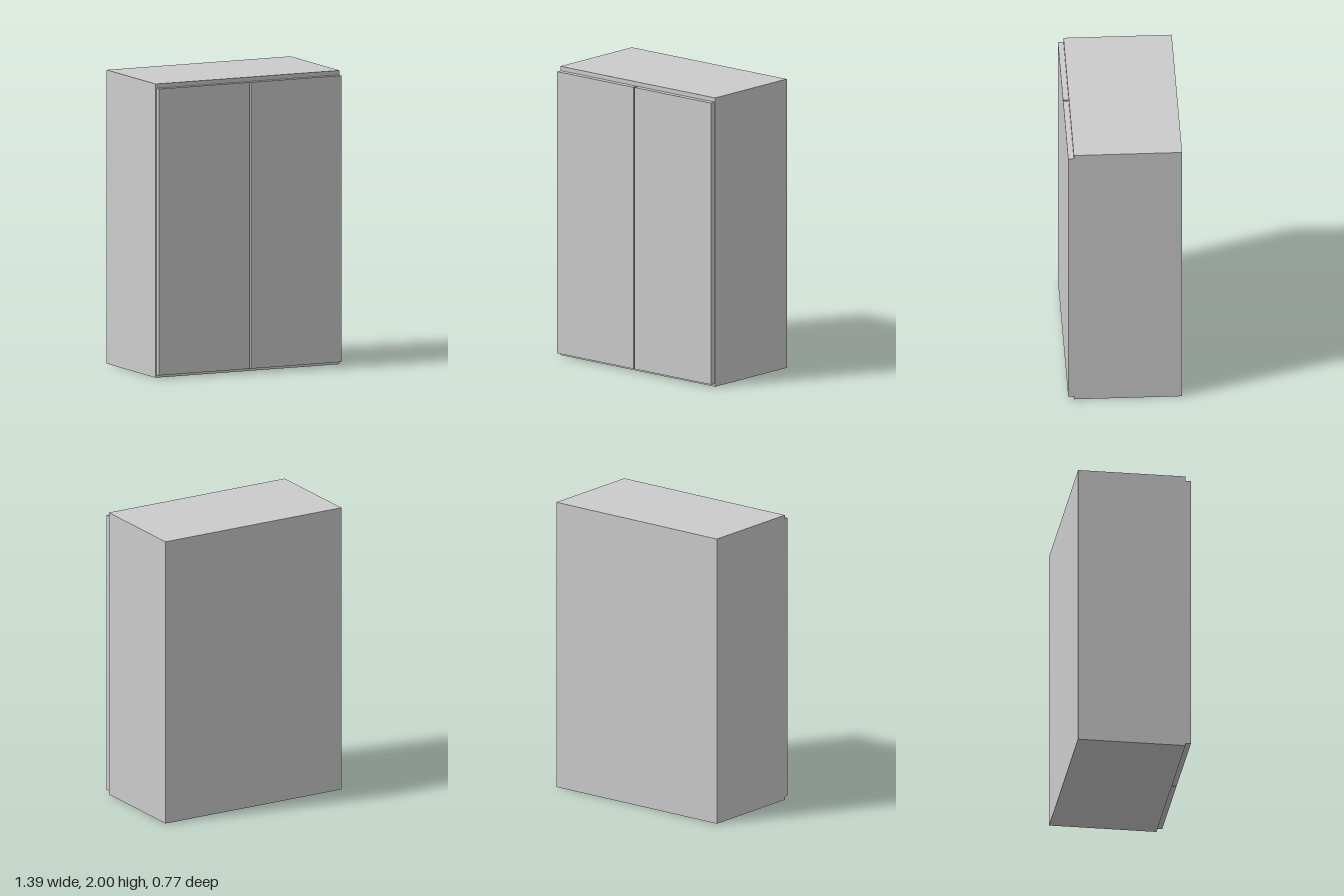
import * as THREE from 'three';

const W = 1.39, H = 2, T = 0.04;        // cabinet width, height, board thickness
const BACK = -0.384, FRONT = 0.346;     // carcass depth range
const DOOR_FRONT = 0.384;

export function createModel() {
  const group = new THREE.Group();
  group.name = 'cabinet';
  const material = new THREE.MeshStandardMaterial({ color: 0xcccccc, flatShading: true });

  // Box given by its minimum and maximum corners
  const board = (name, [x0, y0, z0], [x1, y1, z1]) => {
    const mesh = new THREE.Mesh(new THREE.BoxGeometry(x1 - x0, y1 - y0, z1 - z0), material);
    mesh.position.set((x0 + x1) / 2, (y0 + y1) / 2, (z0 + z1) / 2);
    mesh.name = name;
    group.add(mesh);
  };

  // Carcass: sides, bottom, top and back
  const inner = W / 2 - T;
  board('leftSide', [inner, 0, BACK], [W / 2, H, FRONT]);
  board('rightSide', [-W / 2, 0, BACK], [-inner, H, FRONT]);
  board('bottomPanel', [-inner, 0, BACK], [inner, 0.043, FRONT]);
  board('topPanel', [-inner, H - 0.043, BACK], [inner, H, FRONT]);
  board('backPanel', [-inner, 0.043, BACK], [inner, H - 0.043, BACK + 0.02]);

  // Inner shelves, seen through the gap between the doors
  [0.62, 1.06, 1.5].forEach((y, i) =>
    board(`shelf${i + 1}`, [-inner, y, BACK + 0.02], [inner, y + 0.043, FRONT - 0.02]));

  // Pair of flat doors laid over the front
  board('leftDoor', [0.006, 0.02, FRONT], [0.689, 1.97, DOOR_FRONT]);
  board('rightDoor', [-0.689, 0.02, FRONT], [-0.006, 1.97, DOOR_FRONT]);

  return group;
}
